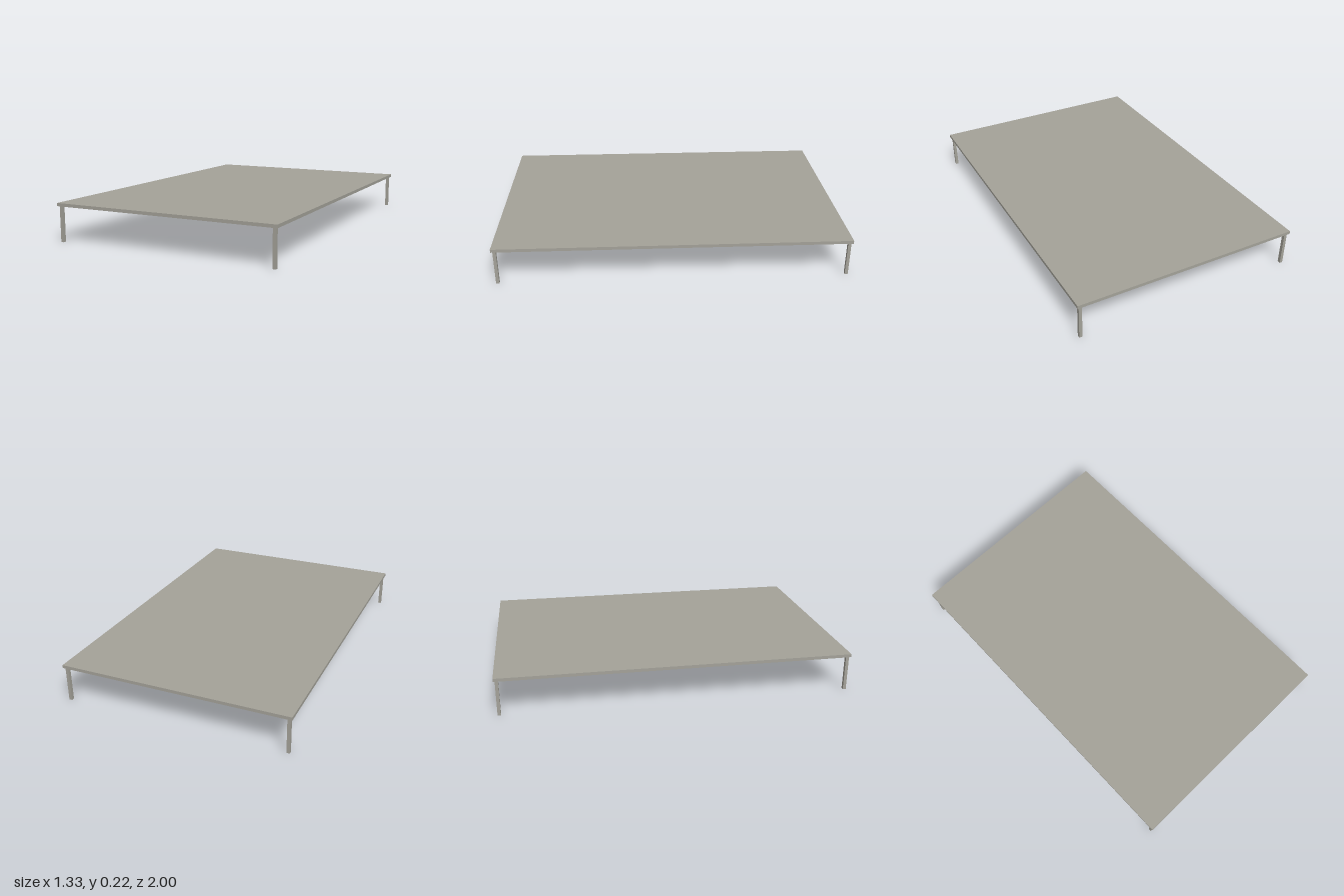
import * as THREE from 'three';

const WIDTH = 1.333, DEPTH = 2, HEIGHT = 0.222, THICK = 0.018;
const LEG = 0.018, LEG_X = 0.647, LEG_Z = 0.982;

export function createModel() {
  const model = new THREE.Group();
  model.name = 'lowTable';
  const material = new THREE.MeshStandardMaterial({ color: 0xa4a299 });

  const addBox = (name, w, h, d, x, y, z) => {
    const mesh = new THREE.Mesh(new THREE.BoxGeometry(w, h, d), material);
    mesh.name = name;
    mesh.position.set(x, y, z);
    model.add(mesh);
  };

  // Thin flat top
  addBox('tableTop', WIDTH, THICK, DEPTH, 0, HEIGHT - THICK / 2, 0);

  // Four slim square legs near the corners
  const legHeight = HEIGHT - THICK;
  for (const [endName, sz] of [['front', 1], ['back', -1]]) {
    for (const [sideName, sx] of [['Left', 1], ['Right', -1]]) {
      addBox(`${endName}${sideName}Leg`, LEG, legHeight, LEG, sx * LEG_X, legHeight / 2, sz * LEG_Z);
    }
  }
  return model;
}
